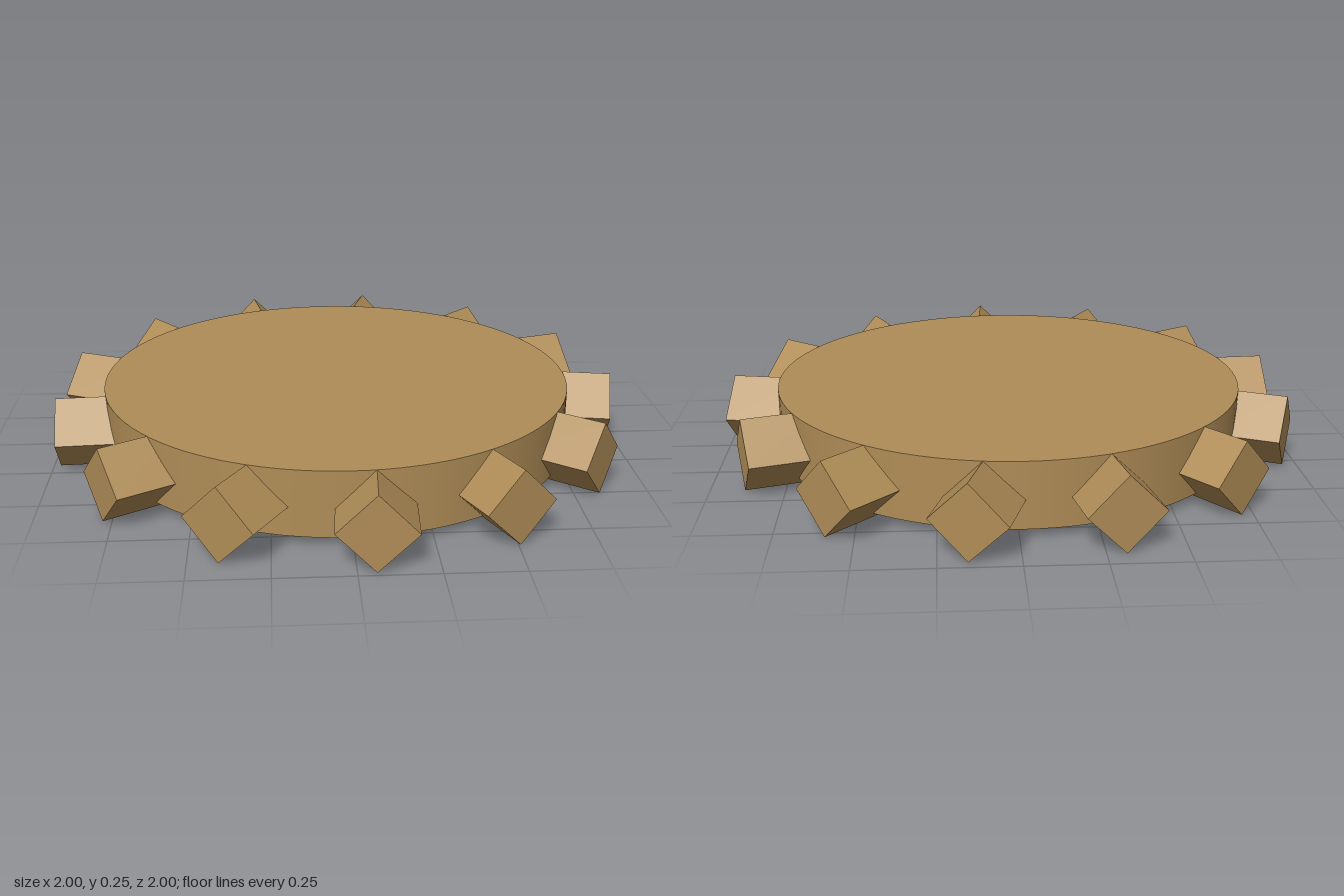
import * as THREE from 'three';

export function createModel() {
  const model = new THREE.Group();
  model.name = 'toothedWheel';
  const bronze = new THREE.MeshStandardMaterial({ color: 0xb08d57 });
  bronze.name = 'bronze';

  // Shared centre, shifted slightly because the odd tooth count is asymmetric
  const wheel = new THREE.Group();
  wheel.name = 'wheel';
  wheel.position.set(-0.01, 0, 0.002);
  model.add(wheel);

  // Solid disc, its underside a little above the lowest tooth edges
  const top = 0.25, bottom = 0.028;
  const disc = new THREE.Mesh(new THREE.CylinderGeometry(0.817, 0.817, top - bottom, 96), bronze);
  disc.name = 'disc';
  disc.position.y = (top + bottom) / 2;
  wheel.add(disc);

  // Square bars standing on edge, each set to one side of its spoke line
  const count = 13, diagonal = 0.25, length = 0.26, reach = 0.977;
  const side = diagonal / Math.SQRT2;
  const barGeometry = new THREE.BoxGeometry(length, side, side);
  for (let i = 0; i < count; i++) {
    const tooth = new THREE.Group();
    tooth.name = `tooth${i + 1}`;
    tooth.rotation.y = -(THREE.MathUtils.degToRad(10.25) + (i * Math.PI * 2) / count);
    const bar = new THREE.Mesh(barGeometry, bronze);
    bar.name = 'toothBar';
    bar.rotation.x = Math.PI / 4;
    bar.position.set(reach - length / 2, diagonal / 2, -diagonal / 2);
    tooth.add(bar);
    wheel.add(tooth);
  }
  return model;
}
